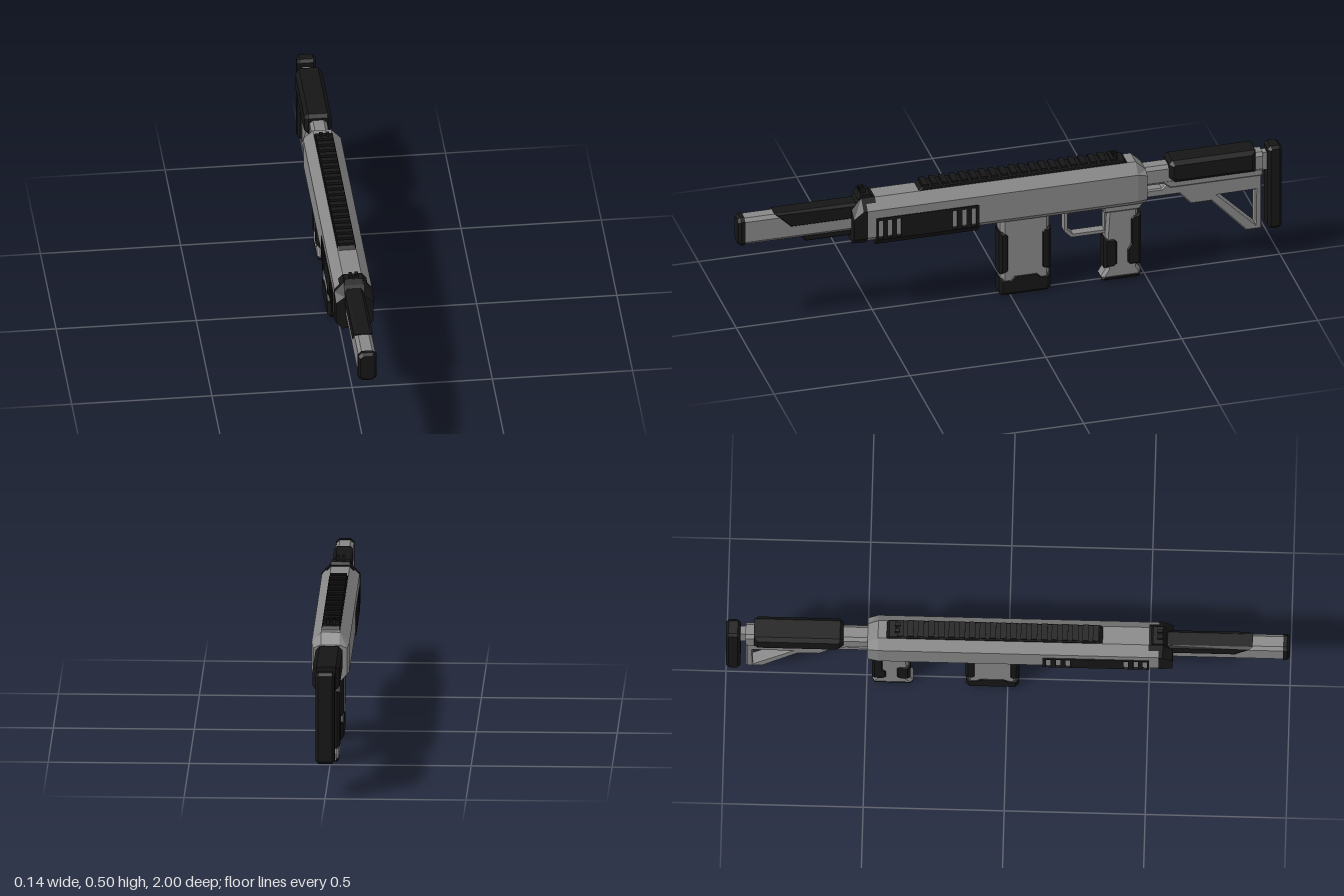
import * as THREE from 'three';

const grey = new THREE.MeshStandardMaterial({ color: 0x888888, flatShading: true });
const dark = new THREE.MeshStandardMaterial({ color: 0x161616, flatShading: true });

// Side outline of [z, y] points, extruded across x to +-hw with chamfered edges.
function side(pts, hw, bevel = 0, holes = []) {
  const v = (a) => a.map(([z, y]) => new THREE.Vector2(z, y));
  const shape = new THREE.Shape(v(pts));
  holes.forEach((h) => shape.holes.push(new THREE.Path(v(h))));
  const depth = 2 * (hw - bevel);
  const g = new THREE.ExtrudeGeometry(shape, {
    depth, bevelEnabled: bevel > 0, bevelThickness: bevel, bevelSize: bevel,
    bevelOffset: -bevel, bevelSegments: 1,
  });
  return g.translate(0, 0, -depth / 2).rotateY(-Math.PI / 2);
}

// Rectangle as an outline, with optional cut corners.
function rect(z0, z1, y0, y1, c = 0) {
  if (!c) return [[z0, y0], [z1, y0], [z1, y1], [z0, y1]];
  return [[z0 + c, y0], [z1 - c, y0], [z1, y0 + c], [z1, y1 - c],
    [z1 - c, y1], [z0 + c, y1], [z0, y1 - c], [z0, y0 + c]];
}

// Mirrored convex sections [z, right-hand [x, y] points upward], from front to back.
function loft(sections) {
  const rings = sections.map(([z, half]) =>
    [...half, ...half.map(([x, y]) => [-x, y]).reverse()].map(([x, y]) => [x, y, z]));
  const n = rings[0].length, last = rings.length - 1, out = [];
  const tri = (a, b, c) => out.push(...a, ...b, ...c);
  for (let i = 0; i < last; i++) {
    for (let j = 0; j < n; j++) {
      const k = (j + 1) % n;
      tri(rings[i][j], rings[i + 1][j], rings[i + 1][k]);
      tri(rings[i][j], rings[i + 1][k], rings[i][k]);
    }
  }
  for (let j = 1; j < n - 1; j++) {
    tri(rings[0][0], rings[0][j], rings[0][j + 1]);
    tri(rings[last][0], rings[last][j + 1], rings[last][j]);
  }
  const g = new THREE.BufferGeometry();
  g.setAttribute('position', new THREE.Float32BufferAttribute(out, 3));
  g.computeVertexNormals();
  return g;
}

// Right half of a box section with cut bottom and top corners.
const oct = (hw, y0, y1, cb, ct) => [[hw - cb, y0], [hw, y0 + cb], [hw, y1 - ct], [hw - ct, y1]];

export function createModel() {
  const model = new THREE.Group();
  const add = (name, geometry, material) => {
    const m = new THREE.Mesh(geometry, material);
    m.name = name;
    model.add(m);
    return m;
  };
  const box = (name, mat, w, y0, y1, z0, z1, x = 0) =>
    add(name, new THREE.BoxGeometry(w, y1 - y0, z1 - z0)
      .translate(x, (y0 + y1) / 2, (z0 + z1) / 2), mat);

  // Barrel shroud, muzzle and covers
  const barrel = oct(0.031, 0.345, 0.452, 0.014, 0.012);
  add('barrel', loft([[0.98, barrel], [0.5, barrel]]), grey);
  const muzzle = oct(0.033, 0.342, 0.456, 0.014, 0.013);
  add('muzzleCap', loft([[1, oct(0.026, 0.352, 0.446, 0.011, 0.01)],
    [0.99, muzzle], [0.976, muzzle]]), dark);
  add('muzzleBore', side(rect(0.99, 1, 0.38, 0.42), 0.012), dark);
  add('barrelTopCover', side([[0.54, 0.392], [0.81, 0.392], [0.868, 0.457], [0.54, 0.457]], 0.034, 0.01), dark);
  add('barrelLowerCover', side([[0.54, 0.325], [0.75, 0.325], [0.768, 0.35], [0.54, 0.35]], 0.02, 0.004), dark);

  // Receiver with a sloped back end
  const body = [[0.045, 0.308], [0.067, 0.33], [0.067, 0.437], [0.033, 0.474]];
  const bodyEnd = [[0.04, 0.308], [0.06, 0.33], [0.06, 0.425], [0.033, 0.437]];
  add('receiver', loft([[0.55, body], [-0.46, body], [-0.497, bodyEnd]]), grey);
  const collar = [[0.045, 0.303], [0.069, 0.328], [0.069, 0.438], [0.035, 0.476]];
  const collarEnd = [[0.045, 0.305], [0.067, 0.33], [0.067, 0.41], [0.035, 0.435]];
  add('frontCollar', loft([[0.585, collarEnd], [0.55, collar], [0.535, collar]]), dark);
  add('collarTop', loft([0.545, 0.5].map((z) => [z, [[0.05, 0.46], [0.035, 0.477]]])), dark);

  // Handguard with vent slots
  const slots = [0.487, 0.454, 0.42, 0.214, 0.18, 0.144]
    .map((z) => rect(z - 0.008, z + 0.008, 0.322, 0.394));
  add('handguardPanels', side(rect(0.125, 0.502, 0.318, 0.405), 0.07, 0, slots), dark);
  const guard = [[0.045, 0.29], [0.07, 0.318], [0.068, 0.322]];
  add('handguardBase', loft([[0.502, guard], [0.125, guard]]), dark);

  // Top rail with teeth
  add('topRail', side([[-0.437, 0.465], [0.345, 0.465], [0.325, 0.486], [-0.42, 0.486]], 0.033, 0.003), dark);
  for (let i = 0; i < 20; i++) {
    const z = 0.312 - i * 0.0365;
    box('railTooth', dark, 0.06, 0.48, 0.495, z - 0.011, z + 0.011);
  }

  // Notched sights
  add('frontSightBase', side([[0.505, 0.47], [0.562, 0.47], [0.55, 0.488], [0.515, 0.488]], 0.033), dark);
  for (const s of [-1, 1]) {
    box('frontSightPost', dark, 0.012, 0.485, 0.505, 0.53, 0.55, s * 0.011);
    box('rearSightPost', dark, 0.012, 0.485, 0.505, -0.4, -0.382, s * 0.011);
  }

  // Magazine with grip panels and base
  add('magazine', side(rect(-0.146, 0.035, 0.03, 0.32), 0.033, 0.014), grey);
  add('magazineFrontPanel', side([[0.002, 0.1], [0.014, 0.088], [0.04, 0.088],
    [0.04, 0.257], [0.014, 0.257], [0.002, 0.245]], 0.036, 0.01), dark);
  add('magazineBackPanel', side([[-0.15, 0.088], [-0.122, 0.088], [-0.11, 0.1],
    [-0.11, 0.245], [-0.122, 0.257], [-0.15, 0.257]], 0.036, 0.01), dark);
  add('magazineBase', side([[-0.138, 0], [0.03, 0], [0.04, 0.012], [0.04, 0.07],
    [0.005, 0.07], [-0.01, 0.085], [-0.1, 0.085], [-0.115, 0.07], [-0.149, 0.07], [-0.149, 0.012]],
  0.036, 0.012), dark);

  // Trigger guard
  add('triggerGuard', side(
    [[-0.36, 0.193], [-0.228, 0.193], [-0.202, 0.22], [-0.202, 0.315], [-0.36, 0.315]], 0.017, 0,
    [[[-0.35, 0.205], [-0.234, 0.205], [-0.213, 0.226], [-0.213, 0.29], [-0.35, 0.29]]]), grey);

  // Pistol grip
  add('gripMount', side([[-0.475, 0.28], [-0.345, 0.28], [-0.335, 0.315], [-0.497, 0.315]], 0.036, 0.006), grey);
  add('grip', side([[-0.478, 0.01], [-0.34, 0.01], [-0.335, 0.02], [-0.355, 0.052],
    [-0.35, 0.17], [-0.358, 0.3], [-0.47, 0.3], [-0.47, 0.05], [-0.48, 0.035]], 0.03, 0.01), grey);
  add('gripBase', side(rect(-0.478, -0.338, 0.004, 0.022, 0.006), 0.03, 0.006), dark);
  add('gripBackPanel', side([[-0.482, 0.055], [-0.438, 0.055], [-0.425, 0.07], [-0.425, 0.125],
    [-0.438, 0.145], [-0.438, 0.248], [-0.45, 0.26], [-0.482, 0.26]], 0.034, 0.01), dark);
  add('gripFrontPanel', side([[-0.398, 0.068], [-0.384, 0.055], [-0.345, 0.055],
    [-0.345, 0.175], [-0.384, 0.175], [-0.398, 0.16]], 0.034, 0.01), dark);

  // Stock tube, skeleton frame, cheek rest and butt pad
  const tube = oct(0.031, 0.36, 0.437, 0.014, 0.012);
  add('stockTube', loft([[-0.48, tube], [-0.93, tube]]), grey);
  add('stockFrame', side(
    [[-0.48, 0.312], [-0.625, 0.312], [-0.667, 0.265], [-0.742, 0.265], [-0.87, 0.127],
      [-0.928, 0.127], [-0.928, 0.385], [-0.6, 0.385], [-0.56, 0.343], [-0.48, 0.343]], 0.022, 0.005,
    [[[-0.765, 0.287], [-0.904, 0.287], [-0.904, 0.148]]]), grey);
  add('stockRib', side([[-0.555, 0.375], [-0.59, 0.345], [-0.93, 0.345], [-0.93, 0.375]], 0.03, 0.005), grey);
  add('cheekRest', side([[-0.9, 0.37], [-0.605, 0.37], [-0.583, 0.392], [-0.583, 0.445],
    [-0.595, 0.457], [-0.9, 0.457]], 0.048, 0.014), dark);
  box('buttLink', grey, 0.03, 0.36, 0.43, -0.96, -0.92);
  add('buttPad', side(rect(-1, -0.948, 0.125, 0.457, 0.01), 0.034, 0.01), dark);

  return model;
}
